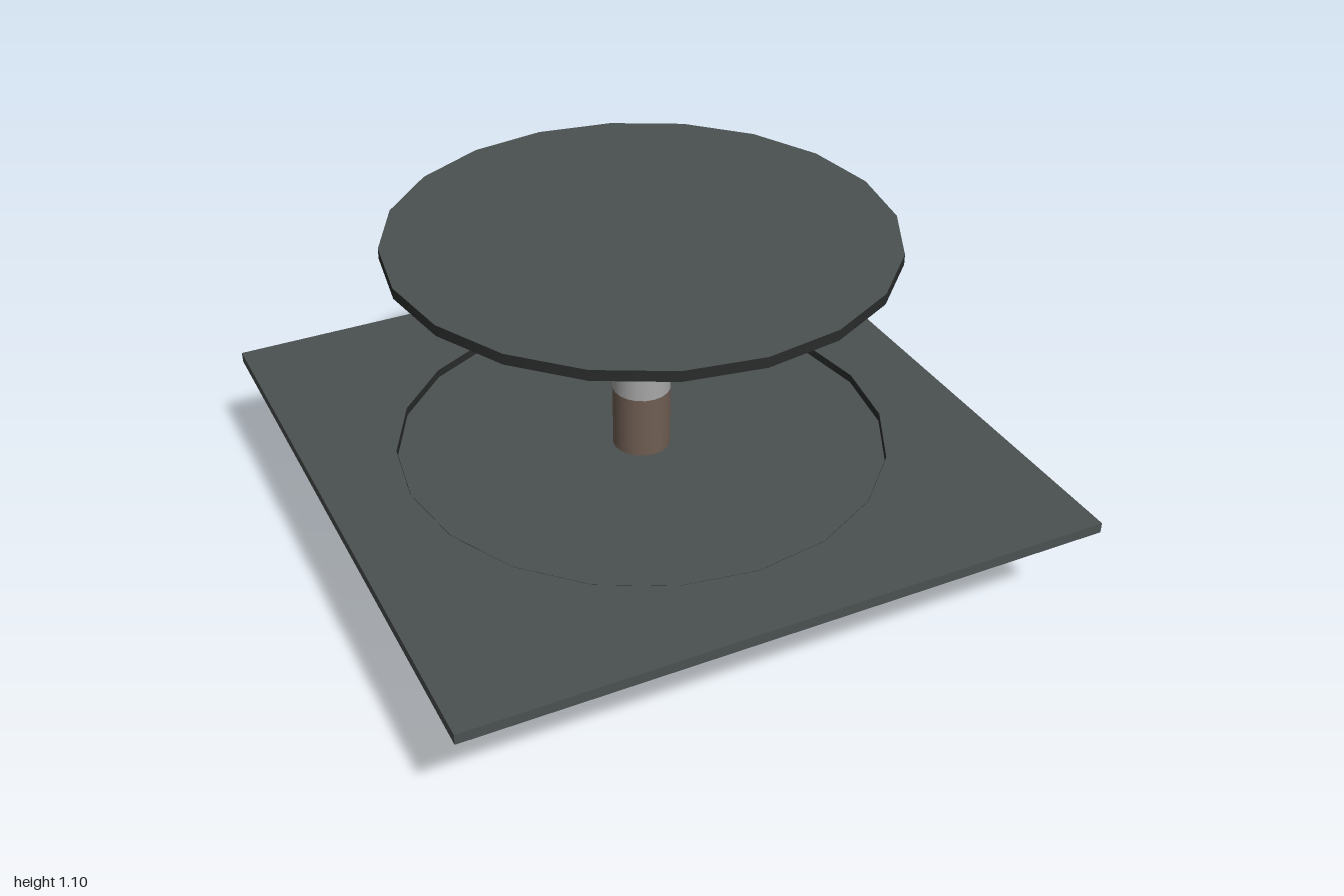
import * as THREE from 'three';

const SIDES = 20;
const RADIUS = 0.76;

function material(name, color, side = THREE.FrontSide) {
  const m = new THREE.MeshStandardMaterial({ color, side });
  m.name = name;
  return m;
}

export function createModel() {
  const group = new THREE.Group();
  const slate = material('slate', 0x4b5050);
  const darkSlate = material('dark slate', 0x2a2c2c);
  const brown = material('brown', 0x705e53);
  const grey = material('light grey', 0xa8a8a8);

  const add = (name, geometry, mat, y) => {
    const mesh = new THREE.Mesh(geometry, mat);
    mesh.name = name;
    mesh.position.y = y;
    group.add(mesh);
  };

  // Corner points of the twenty-sided opening
  const circle = Array.from({ length: SIDES }, (_, i) => {
    const a = (i / SIDES) * Math.PI * 2;
    return new THREE.Vector2(Math.cos(a) * RADIUS, Math.sin(a) * RADIUS);
  });

  // Square plate: a thin floor below a frame with a round opening
  const bottom = 0.363, floor = 0.369, top = 0.396;
  add('plateFloor', new THREE.BoxGeometry(2, floor - bottom, 2), slate, (bottom + floor) / 2);
  const square = new THREE.Shape([[-1, -1], [1, -1], [1, 1], [-1, 1]].map(p => new THREE.Vector2(...p)));
  square.holes.push(new THREE.Path(circle));
  const frame = new THREE.ExtrudeGeometry(square, { depth: top - floor, bevelEnabled: false });
  frame.rotateX(-Math.PI / 2);
  add('plateFrame', frame, slate, floor);

  // Dark lining of the round recess
  const lining = new THREE.CylinderGeometry(RADIUS - 0.001, RADIUS - 0.001, top - floor, SIDES, 1, true);
  lining.scale(-1, 1, 1);
  add('recessLining', lining, material('dark recess', 0x2a2c2c, THREE.DoubleSide), (top + floor) / 2);

  // Round lid raised above the recess
  add('lid', new THREE.CylinderGeometry(RADIUS, RADIUS, 0.033, SIDES), [darkSlate, slate, slate], 1.0835);

  // Two-tone centre post
  add('lowerPost', new THREE.CylinderGeometry(0.09, 0.09, 0.57, SIDES), brown, 0.285);
  add('upperPost', new THREE.CylinderGeometry(0.09, 0.09, 0.5, SIDES), grey, 0.82);

  return group;
}
